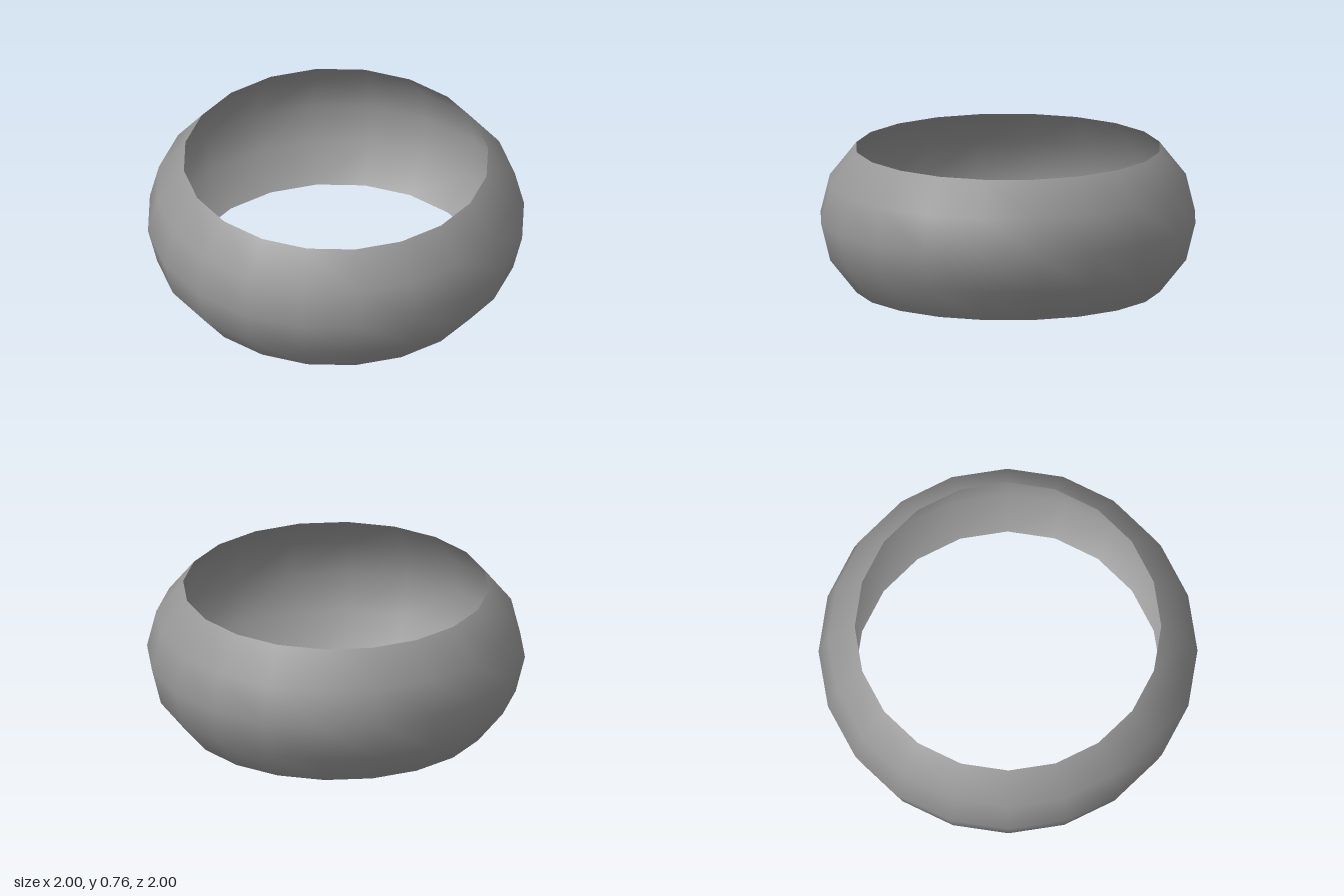
import * as THREE from 'three';

export function createModel() {
  const group = new THREE.Group();

  // Middle belt of a flattened sphere, open at top and bottom
  const step = Math.PI / 10;
  const squash = 0.645;
  const geometry = new THREE.SphereGeometry(1, 20, 4, 0, Math.PI * 2, 3 * step, 4 * step);
  geometry.scale(1, squash, 1);
  geometry.translate(0, squash * Math.sin(2 * step), 0);

  const band = new THREE.Mesh(
    geometry,
    new THREE.MeshStandardMaterial({ color: 0x969696, side: THREE.DoubleSide })
  );
  band.name = 'bulgingBand';
  group.add(band);

  return group;
}
